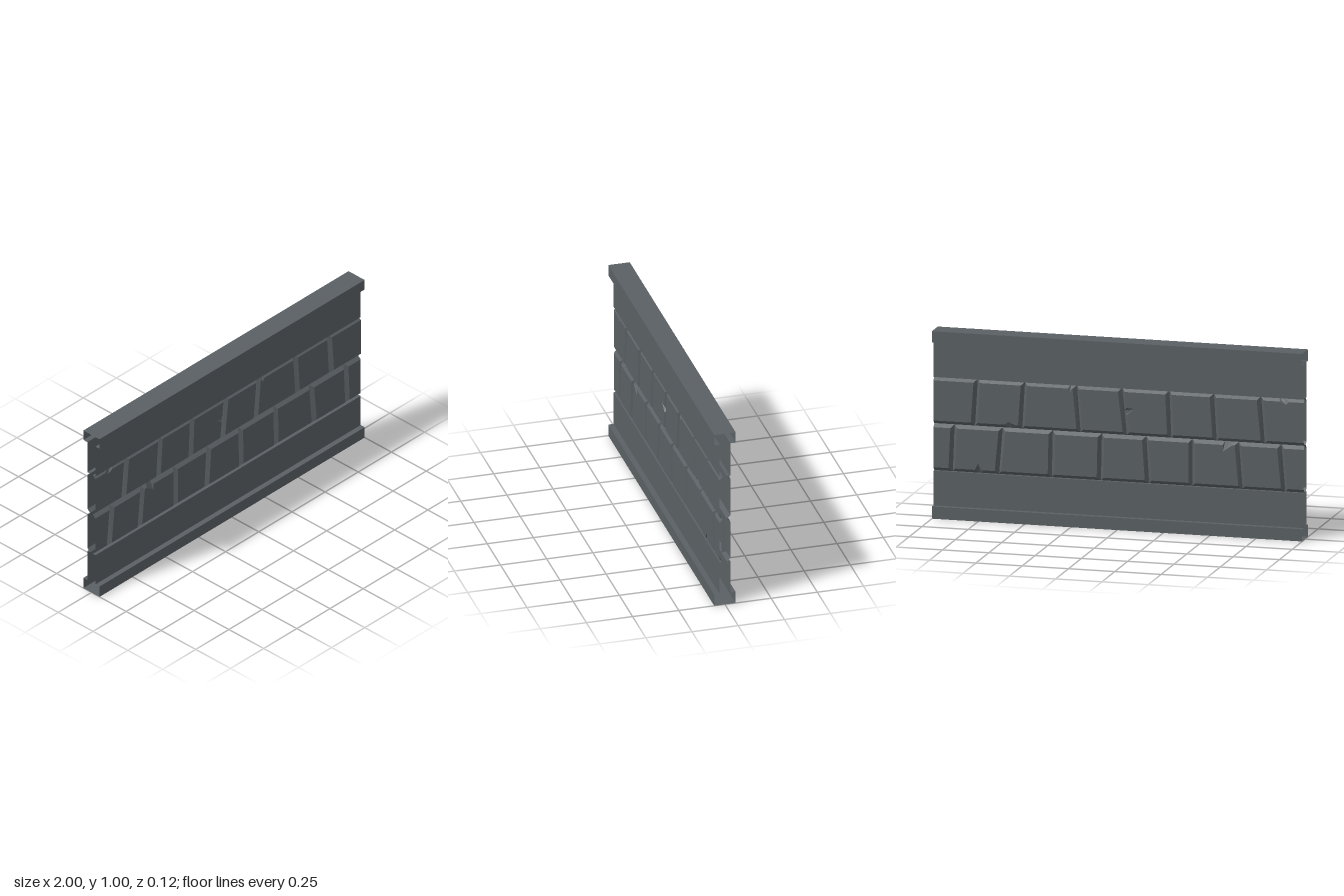
import * as THREE from 'three';

const material = new THREE.MeshStandardMaterial({ color: 0x5a6064, side: THREE.DoubleSide, flatShading: true });
const GROOVE = 0.01, FACE = 0.029, CAP = 0.058, BEVEL = 0.018;

function meshFrom(triangles, name) {
  const geometry = new THREE.BufferGeometry();
  geometry.setAttribute('position', new THREE.Float32BufferAttribute(triangles.flat(), 3));
  geometry.computeVertexNormals();
  const mesh = new THREE.Mesh(geometry, material);
  mesh.name = name;
  return mesh;
}

const quad = (a, b, c, d) => [a, b, c, a, c, d];
const lerp = (a, b, t) => [a[0] + (b[0] - a[0]) * t, a[1] + (b[1] - a[1]) * t];

// Open-ended rail: a [y, z] profile, mirrored front to back and swept along x
function rail(half, name) {
  const profile = [...half, ...half.map(([y, z]) => [y, -z]).reverse()];
  const triangles = [];
  for (let i = 0; i < profile.length - 1; i++) {
    const [y0, z0] = profile[i], [y1, z1] = profile[i + 1];
    const strip = quad([-1, y0, z0], [1, y0, z0], [1, y1, z1], [-1, y1, z1]);
    // Flip the strips of the rail whose profile runs downwards
    triangles.push(...(half[0][0] < 0.5 ? strip.reverse() : strip));
  }
  return meshFrom(triangles, name);
}

// Bevelled stone; corners run anticlockwise from bottom left.
// A chip is [edge, position, half width, depth, skew]; edges: 0 bottom, 1 right, 2 top, 3 left
function stone(corners, chips, depth) {
  const inset = ([x, y], sx, sy) => [Math.abs(x) === 1 ? x : x + sx * BEVEL, y + sy * BEVEL];
  const signs = [[1, 1], [-1, 1], [-1, -1], [1, -1]];
  const innerCorners = corners.map((c, i) => inset(c, ...signs[i]));
  const outer = [], inner = [], open = [];

  for (let e = 0; e < 4; e++) {
    const n = (e + 1) % 4;
    const a = innerCorners[e], b = innerCorners[n];
    const length = Math.hypot(b[0] - a[0], b[1] - a[1]);
    const along = [(b[0] - a[0]) / length, (b[1] - a[1]) / length];
    const isOpen = e % 2 === 1 && Math.abs(corners[e][0]) === 1;
    const add = (t, push = 0, skew = 0) => {
      const p = lerp(a, b, t);
      outer.push(lerp(corners[e], corners[n], t));
      inner.push([p[0] - along[1] * push + along[0] * skew, p[1] + along[0] * push + along[1] * skew]);
      open.push(isOpen);
    };
    add(0);
    for (const [edge, t, width, push, skew] of chips) {
      if (edge !== e) continue;
      add(t - width / length);
      add(t, push, skew);
      add(t + width / length);
    }
  }

  // Sloped sides
  const triangles = [];
  const low = p => [...p, GROOVE], high = p => [...p, depth];
  for (let i = 0; i < outer.length; i++) {
    const j = (i + 1) % outer.length;
    if (!open[i]) triangles.push(...quad(low(outer[i]), low(outer[j]), high(inner[j]), high(inner[i])));
  }
  // Flat face
  const outline = inner.map(p => new THREE.Vector2(...p));
  for (const face of THREE.ShapeUtils.triangulateShape(outline, [])) {
    triangles.push(...face.map(i => high(inner[i])));
  }
  return meshFrom(triangles, 'stone');
}

// Each joint is [x at bottom, x at top]; chips are keyed by stone index
const rows = [
  {
    name: 'lowerStoneRow', bottom: 0.25, top: 0.5,
    joints: [[-0.895, -0.875], [-0.665, -0.645], [-0.395, -0.395], [-0.16, -0.145],
      [0.1, 0.095], [0.365, 0.36], [0.65, 0.63], [0.9, 0.89]],
    chips: { 2: [[2, 0.82, 0.025, 0.035, -0.025]], 7: [[0, 0.42, 0.018, 0.035, 0]] },
  },
  {
    name: 'upperStoneRow', bottom: 0.5, top: 0.75,
    joints: [[-0.785, -0.765], [-0.525, -0.51], [-0.28, -0.27], [-0.04, -0.015],
      [0.21, 0.23], [0.525, 0.51], [0.78, 0.765]],
    chips: {
      0: [[2, 0.53, 0.025, 0.015, 0.005]],
      3: [[1, 0.52, 0.018, 0.045, 0.01]],
      5: [[2, 0.94, 0.012, 0.02, 0]],
      6: [[0, 0.2, 0.03, 0.015, 0.01]],
    },
  },
];

export function createModel() {
  const model = new THREE.Group();
  model.name = 'wallPanel';

  // Plain bands with projecting caps above and below the stones
  model.add(rail([[0.75, GROOVE], [0.75, FACE], [0.94, FACE], [0.94, CAP], [1, CAP]], 'topRail'));
  model.add(rail([[0.25, GROOVE], [0.25, FACE], [0.065, FACE], [0.065, CAP], [0, CAP]], 'bottomRail'));

  // Stone courses, repeated as a mirror image on the back
  const front = new THREE.Group();
  front.name = 'frontStones';
  for (const { name, bottom, top, joints, chips } of rows) {
    const row = new THREE.Group();
    row.name = name;
    const ends = [[-1, -1], ...joints, [1, 1]];
    for (let i = 0; i < ends.length - 1; i++) {
      const [l0, l1] = ends[i], [r0, r1] = ends[i + 1];
      const depth = FACE + 0.001 * ((i * 2) % 3 - 1);
      row.add(stone([[l0, bottom], [r0, bottom], [r1, top], [l1, top]], chips[i] || [], depth));
    }
    front.add(row);
  }
  const back = front.clone();
  back.name = 'backStones';
  back.scale.z = -1;
  model.add(front, back);
  return model;
}
